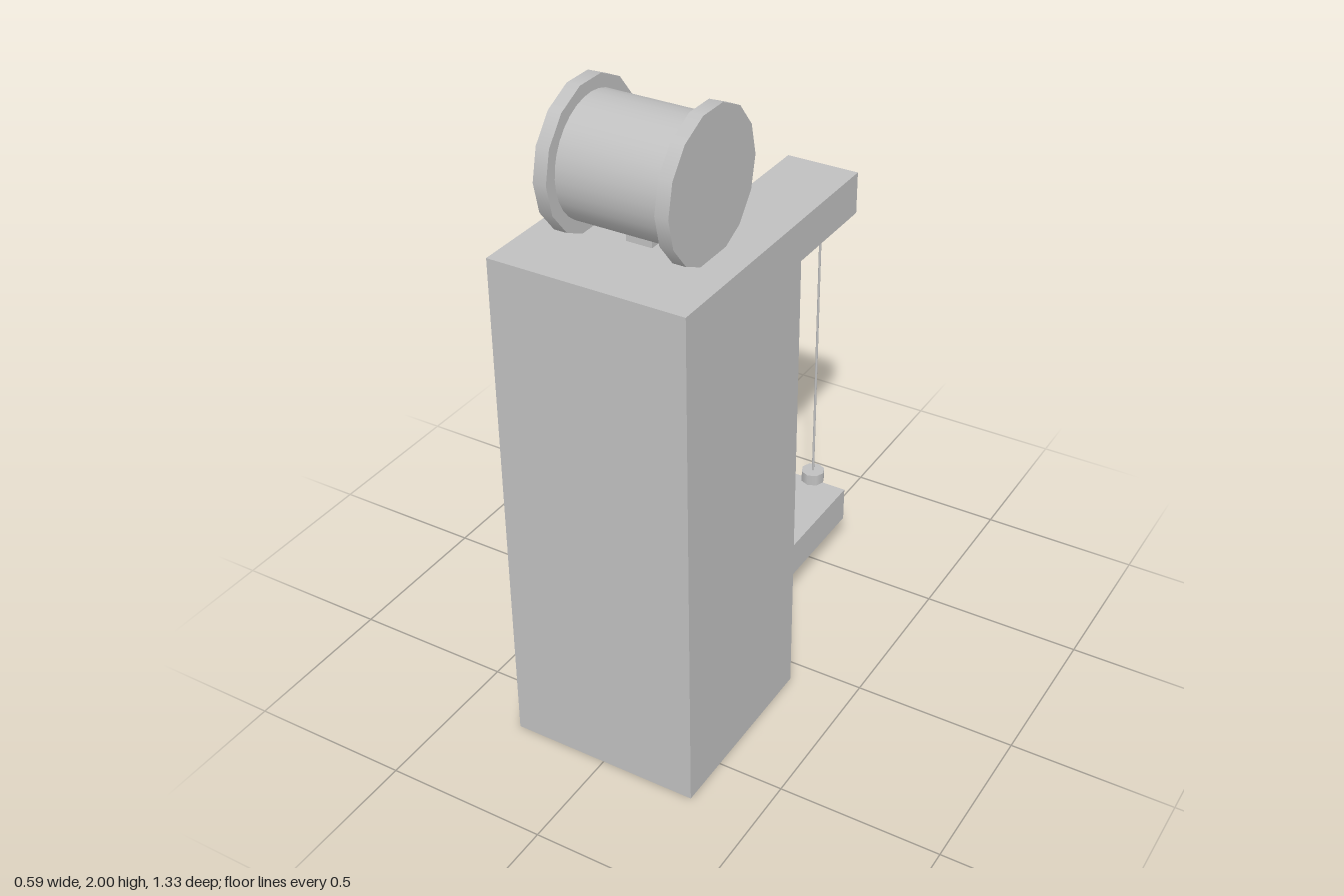
import * as THREE from 'three';

export function createModel() {
  const group = new THREE.Group();
  const grey = new THREE.MeshStandardMaterial({ color: 0xc0c0c0 });
  grey.name = 'plain grey';

  function add(name, geometry, x, y, z) {
    const mesh = new THREE.Mesh(geometry, grey);
    mesh.name = name;
    mesh.position.set(x, y, z);
    group.add(mesh);
    return mesh;
  }
  const box = (name, w, h, d, x, y, z) => add(name, new THREE.BoxGeometry(w, h, d), x, y, z);
  // cylinder lying along x, with a vertex towards the front
  const roller = (name, r, length, sides, x, y, z) =>
    add(name, new THREE.CylinderGeometry(r, r, length, sides).rotateZ(Math.PI / 2), x, y, z);

  // Upright body
  box('body', 0.594, 1.59, 0.594, 0, 0.795, 0.367);

  // Two arms reaching backwards from the body
  const armEnd = -0.624;
  const armLength = 0.07 - armEnd;
  box('upperArm', 0.238, 0.136, armLength, 0, 1.322, armEnd + armLength / 2);
  box('lowerArm', 0.238, 0.116, armLength, 0, 0.163, armEnd + armLength / 2);

  // Wire stretched between small clamps at the arm ends
  for (const [name, y] of [['upperClamp', 1.235], ['lowerClamp', 0.241]]) {
    const clamp = new THREE.CylinderGeometry(0.039, 0.039, 0.038, 8);
    add(name, clamp, 0, y, armEnd);
  }
  add('wire', new THREE.CylinderGeometry(0.004, 0.004, 0.98, 8), 0, 0.738, armEnd);

  // Spool on a small mount
  const spoolY = 1.791, spoolZ = 0.366;
  box('spoolMount', 0.08, 0.08, 0.08, 0, 1.625, spoolZ);
  roller('spoolDrum', 0.175, 0.33, 32, 0, spoolY, spoolZ);
  for (const side of [-1, 1]) {
    roller(side > 0 ? 'leftFlange' : 'rightFlange', 0.214, 0.04, 14, side * 0.179, spoolY, spoolZ);
  }
  return group;
}
